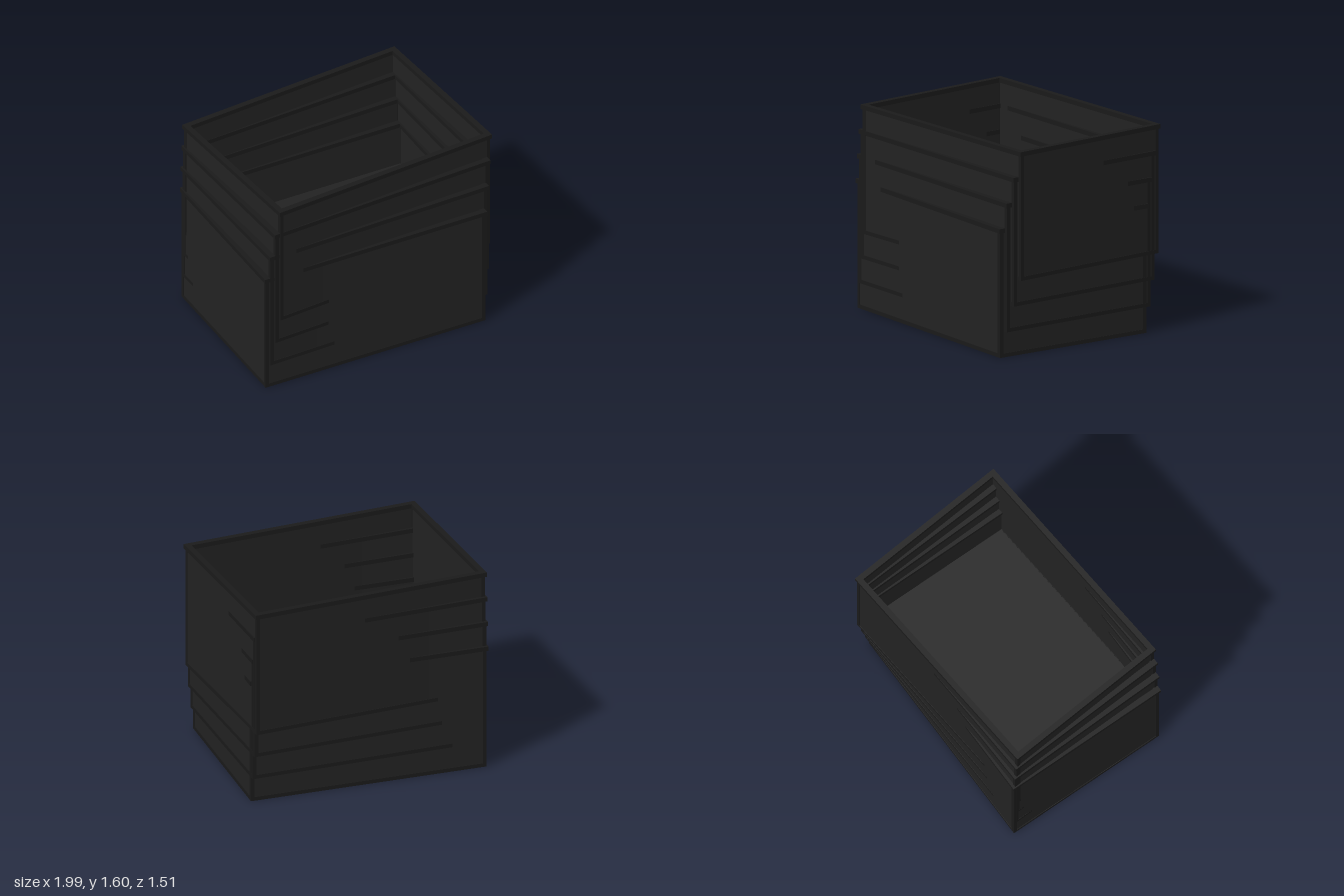
import * as THREE from 'three';

const panelMat = new THREE.MeshStandardMaterial({ color: 0x222222 });
panelMat.name = 'dark grey panel';
const frameMat = new THREE.MeshStandardMaterial({ color: 0x1a1a1a });
frameMat.name = 'near black frame';

function box(parent, name, mat, size, pos) {
  const mesh = new THREE.Mesh(new THREE.BoxGeometry(...size), mat);
  mesh.name = name;
  mesh.position.set(...pos);
  parent.add(mesh);
}

// Rectangular ring of four bars, given its outer half sizes
function ring(parent, name, hx, hz, width, height, y) {
  for (const s of [-1, 1]) {
    box(parent, name, frameMat, [hx * 2, height, width], [0, y, s * (hz - width / 2)]);
    box(parent, name, frameMat, [width, height, (hz - width) * 2], [s * (hx - width / 2), y, 0]);
  }
}

// Open crate: thin panels between edge bars, with a wider rim on top
function createCrate() {
  const crate = new THREE.Group();
  const hx = 0.935, hz = 0.67, bar = 0.03, recess = 0.004, wall = 0.022, rimH = 0.035;
  const sideH = 1 - rimH - bar, sideY = bar + sideH / 2;

  box(crate, 'floor', panelMat, [(hx - bar) * 2, 0.025, (hz - bar) * 2], [0, 0.0145, 0]);
  for (const s of [-1, 1]) {
    box(crate, 'longWall', panelMat, [(hx - bar) * 2, sideH, wall],
      [0, sideY, s * (hz - recess - wall / 2)]);
    box(crate, 'shortWall', panelMat, [wall, sideH, (hz - bar) * 2],
      [s * (hx - recess - wall / 2), sideY, 0]);
    for (const t of [-1, 1]) {
      box(crate, 'cornerPost', frameMat, [bar, sideH, bar],
        [s * (hx - bar / 2), sideY, t * (hz - bar / 2)]);
    }
  }
  ring(crate, 'bottomBar', hx, hz, bar, bar, bar / 2);
  ring(crate, 'rim', 0.945, 0.68, 0.045, rimH, 1 - rimH / 2);
  return crate;
}

export function createModel() {
  const model = new THREE.Group();
  model.name = 'crateStack';
  // Four nested crates, each shifted and turned a little further
  for (let i = 0; i < 4; i++) {
    const crate = createCrate();
    crate.name = 'crate' + (i + 1);
    crate.position.set(-0.053 + i * 0.0173, i * 0.2, 0.04 - i * 0.014);
    crate.rotation.y = i * 0.0267;
    model.add(crate);
  }
  return model;
}
